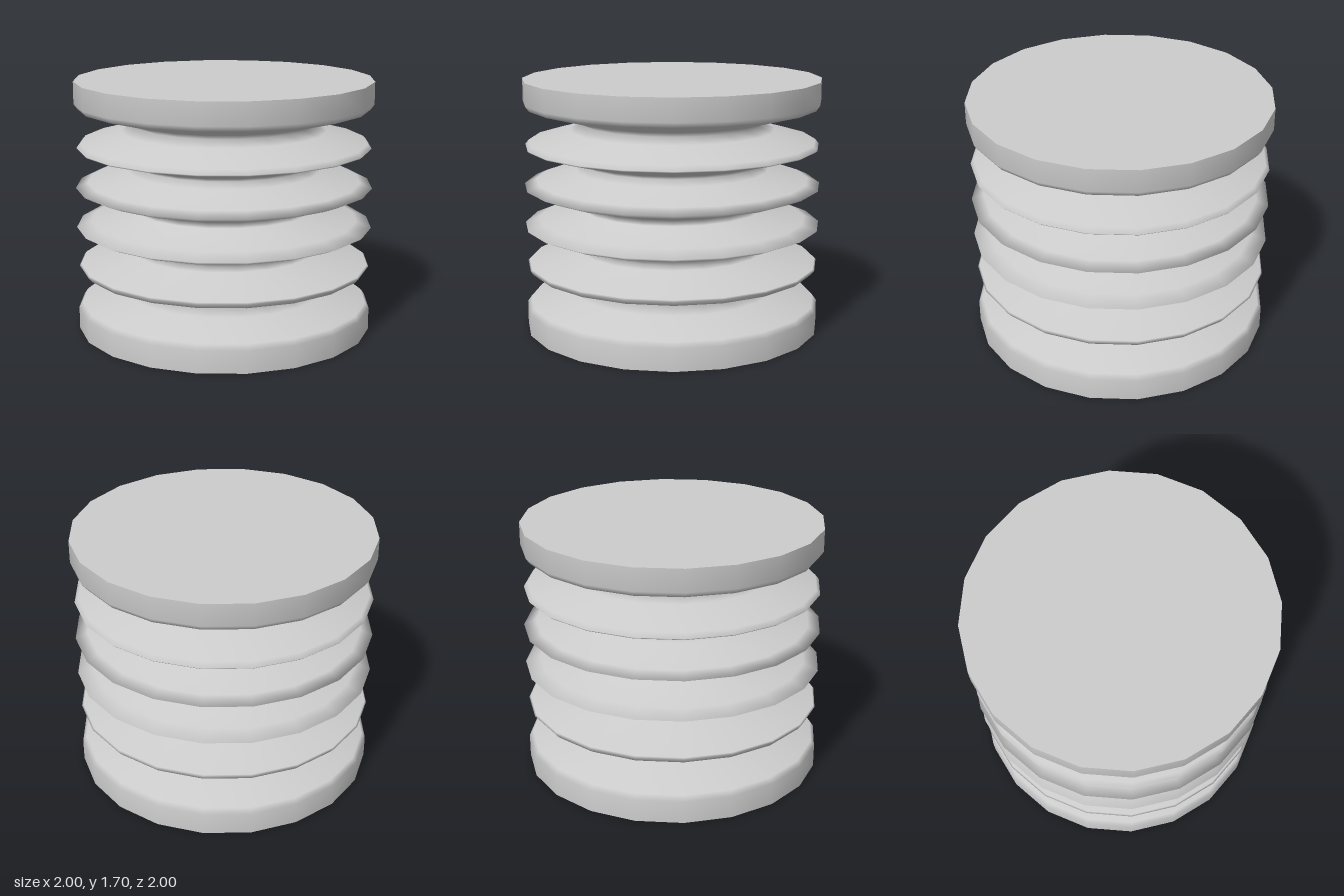
import * as THREE from 'three';

const SIDES = 20;
const HEIGHT = 1.7;

export function createModel() {
  const group = new THREE.Group();
  group.name = 'bellows';
  const material = new THREE.MeshStandardMaterial({ color: 0xcccccc });

  // Upper half of the pleated profile, from the middle groove to the top rim
  const upper = [
    [0.62, 0.87], [0.9, 0.945], [1, 0.985], [0.92, 1.02],
    [0.65, 1.09], [0.605, 1.13], [0.64, 1.155],
    [0.98, 1.245], [0.99, 1.255], [0.965, 1.285],
    [0.69, 1.36], [0.595, 1.398], [0.69, 1.44],
    [0.975, 1.515], [1, 1.55], [1, HEIGHT],
  ];
  // The lower half mirrors the upper one
  const lower = upper.map(([r, y]) => [r, HEIGHT - y]).reverse();
  const profile = [...lower, ...upper].map(([r, y]) => new THREE.Vector2(r, y));

  const body = new THREE.Mesh(new THREE.LatheGeometry(profile, SIDES), material);
  body.name = 'pleatedBody';
  group.add(body);

  // Flat end faces
  for (const [name, y, tilt] of [['topFace', HEIGHT, -1], ['bottomFace', 0, 1]]) {
    const face = new THREE.Mesh(new THREE.CircleGeometry(1, SIDES), material);
    face.name = name;
    face.rotation.x = tilt * Math.PI / 2;
    face.position.y = y;
    group.add(face);
  }
  return group;
}
